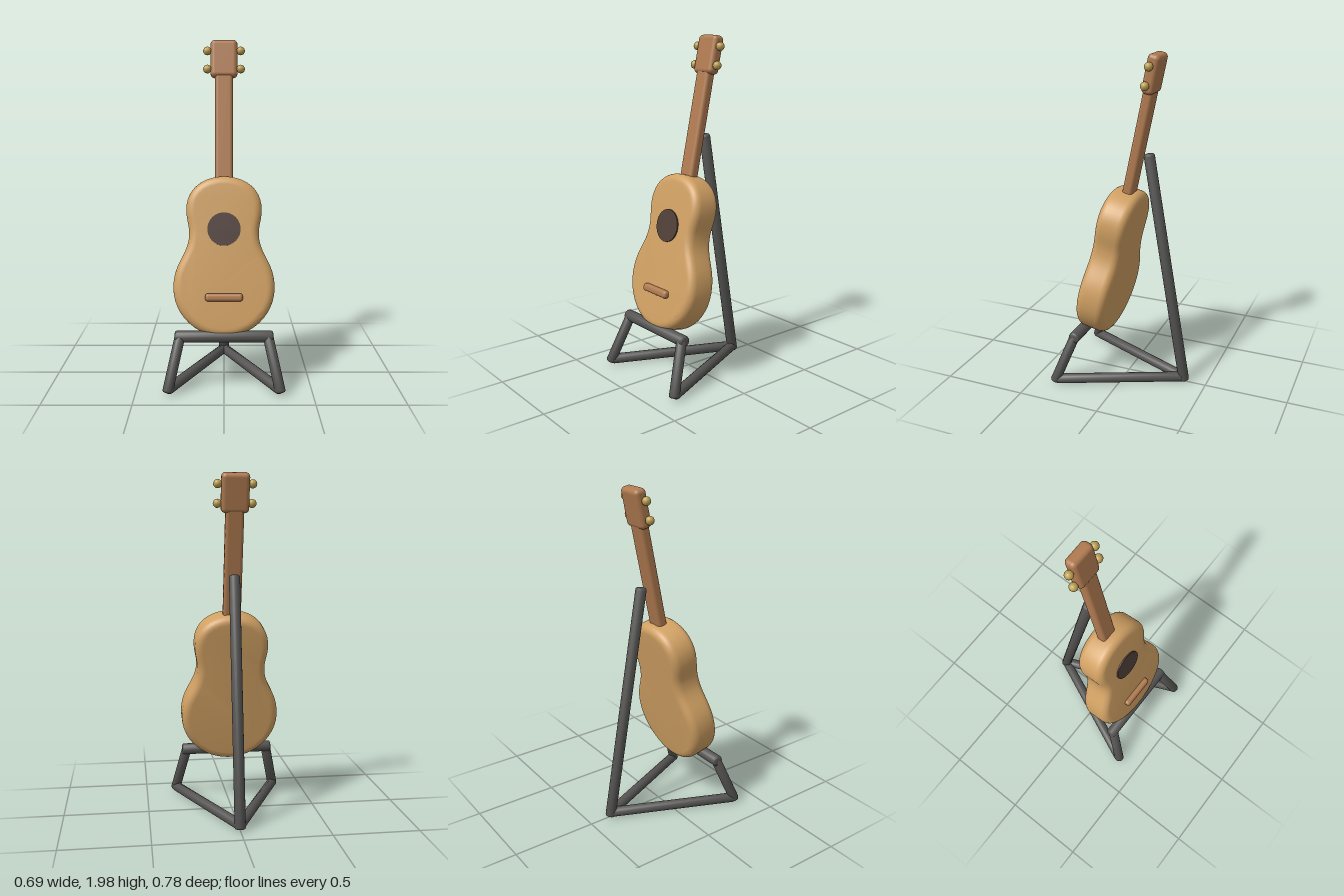
import * as THREE from 'three';
import { toCreasedNormals } from 'three/addons/utils/BufferGeometryUtils.js';
import { RoundedBoxGeometry } from 'three/addons/geometries/RoundedBoxGeometry.js';

const mat = (color) => new THREE.MeshStandardMaterial({ color });
const BODY = mat(0xd0a063);
const WOOD = mat(0xaf7a50);
const HOLE = mat(0x4f3f38);
const BRASS = mat(0xbd9f52);
const METAL = mat(0x555453);

function add(parent, name, geometry, material, x = 0, y = 0, z = 0) {
  const mesh = new THREE.Mesh(geometry, material);
  mesh.name = name;
  mesh.position.set(x, y, z);
  parent.add(mesh);
  return mesh;
}

// Round bar between two points, with softened end edges
function bar(parent, name, from, to, r = 0.03) {
  const a = new THREE.Vector3(...from);
  const b = new THREE.Vector3(...to);
  const h = a.distanceTo(b) / 2;
  const e = 0.012;
  const profile = [[0, -h], [r - e, -h], [r - e * 0.3, -h + e * 0.3], [r, -h + e],
    [r, h - e], [r - e * 0.3, h - e * 0.3], [r - e, h], [0, h]];
  const lathe = new THREE.LatheGeometry(profile.map((p) => new THREE.Vector2(...p)), 16);
  const mesh = add(parent, name, toCreasedNormals(lathe, 0.9), METAL);
  mesh.position.copy(a).add(b).multiplyScalar(0.5);
  mesh.quaternion.setFromUnitVectors(new THREE.Vector3(0, 1, 0), b.sub(a).normalize());
  return mesh;
}

// Waisted body outline with a soft rim, extruded front to back
function bodyGeometry() {
  const s = new THREE.Shape();
  s.moveTo(0, 0);
  s.bezierCurveTo(0.15, 0, 0.29, 0.12, 0.29, 0.28);
  s.bezierCurveTo(0.29, 0.43, 0.2, 0.47, 0.2, 0.59);
  s.bezierCurveTo(0.2, 0.64, 0.217, 0.67, 0.217, 0.73);
  s.bezierCurveTo(0.217, 0.85, 0.12, 0.92, 0, 0.92);
  s.bezierCurveTo(-0.12, 0.92, -0.217, 0.85, -0.217, 0.73);
  s.bezierCurveTo(-0.217, 0.67, -0.2, 0.64, -0.2, 0.59);
  s.bezierCurveTo(-0.2, 0.47, -0.29, 0.43, -0.29, 0.28);
  s.bezierCurveTo(-0.29, 0.12, -0.15, 0, 0, 0);
  const bevel = 0.045;
  const depth = 0.182 - 2 * bevel;
  const g = new THREE.ExtrudeGeometry(s, {
    depth, curveSegments: 12, bevelEnabled: true, bevelSegments: 6,
    bevelSize: bevel, bevelThickness: bevel, bevelOffset: -bevel,
  });
  g.translate(0, 0, -depth / 2);
  return toCreasedNormals(g, 0.7);
}

export function createModel() {
  const model = new THREE.Group();
  model.name = 'guitarOnStand';

  // Instrument, leaning back on the stand
  const guitar = new THREE.Group();
  guitar.name = 'guitar';
  guitar.position.set(0, 0.3, 0.186);
  guitar.rotation.x = -0.208;
  model.add(guitar);

  add(guitar, 'body', bodyGeometry(), BODY, 0, 0, 0.006);
  const disc = new THREE.CylinderGeometry(0.095, 0.095, 0.02, 32).rotateX(Math.PI / 2);
  add(guitar, 'soundHole', disc, HOLE, 0, 0.615, 0.095);
  add(guitar, 'bridge', new RoundedBoxGeometry(0.215, 0.045, 0.045, 4, 0.018), WOOD, 0, 0.228, 0.105);
  add(guitar, 'neck', new RoundedBoxGeometry(0.105, 0.72, 0.062, 4, 0.02), WOOD, 0, 1.22, 0);
  add(guitar, 'headstock', new RoundedBoxGeometry(0.158, 0.222, 0.072, 4, 0.025), WOOD, 0, 1.62, 0);

  // Two tuning pegs on each side of the headstock
  for (const side of [-1, 1]) {
    for (const y of [1.559, 1.667]) {
      add(guitar, 'tuningPeg', new THREE.SphereGeometry(0.025, 16, 12), BRASS, side * 0.098, y, 0.008);
    }
  }

  // Three-legged stand
  const stand = new THREE.Group();
  stand.name = 'stand';
  model.add(stand);
  bar(stand, 'backUpright', [0, 0.018, -0.363], [0, 1.43, -0.12], 0.032);
  bar(stand, 'restBar', [-0.28, 0.318, 0.25], [0.28, 0.318, 0.25], 0.034);
  for (const side of [-1, 1]) {
    bar(stand, 'frontLeg', [side * 0.318, 0.025, 0.362], [side * 0.247, 0.335, 0.247]);
    bar(stand, 'baseBar', [side * 0.315, 0.042, 0.355], [0, 0.042, -0.36]);
  }
  return model;
}
